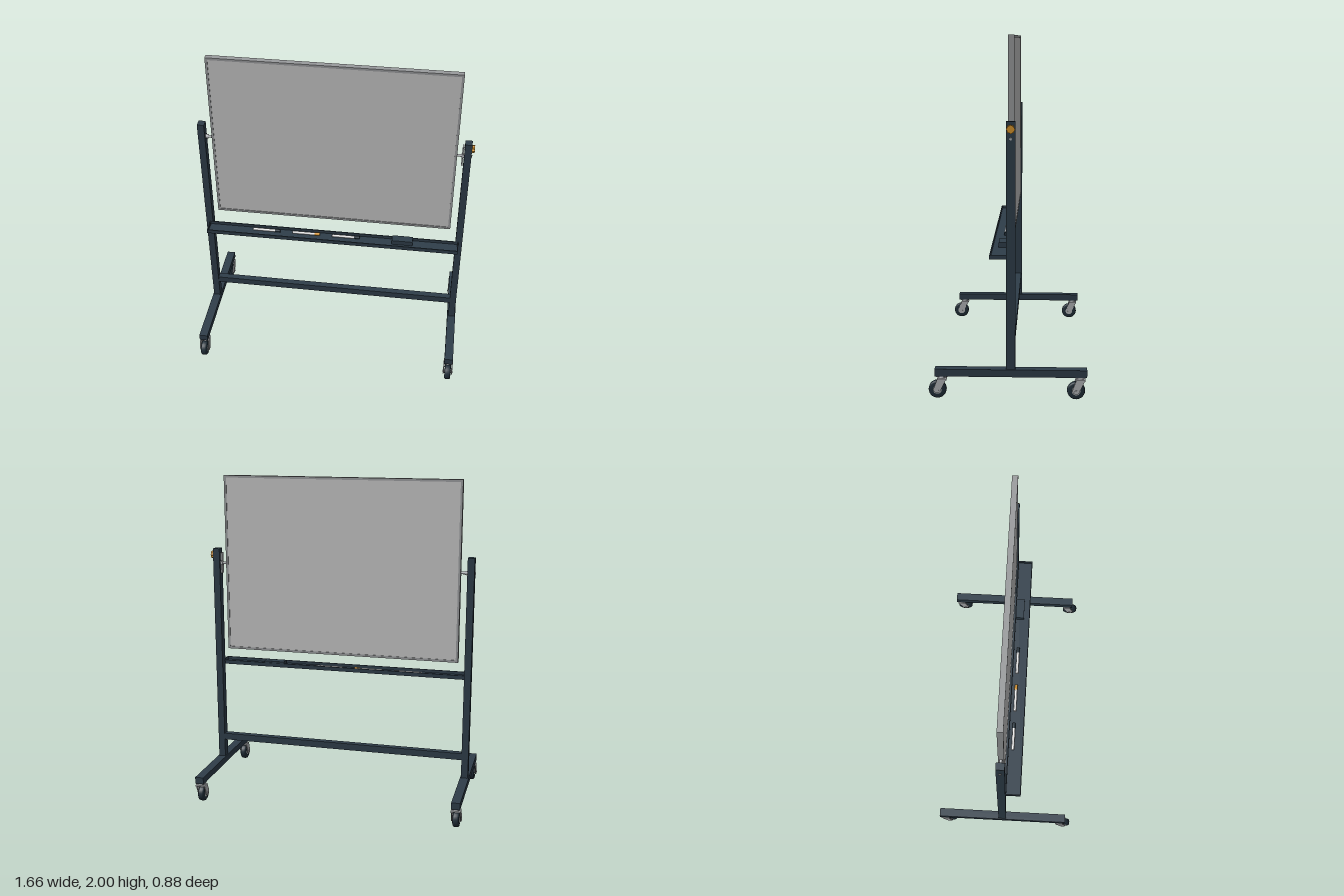
import * as THREE from 'three';

const mat = (name, color, side = THREE.FrontSide) => {
  const m = new THREE.MeshStandardMaterial({ color, side });
  m.name = name;
  return m;
};

export function createModel() {
  const navy = mat('navy steel', 0x2f3e4a);
  const rubber = mat('dark rubber', 0x22303a);
  const metal = mat('metal', 0xb4b7ba);
  const alu = mat('aluminium frame', 0x9a9c9e);
  const panel = mat('board surface', 0xc6c6c6);
  const white = mat('marker white', 0xe6e6e6);
  const amber = mat('amber', 0xd9962b);

  const model = new THREE.Group();
  model.name = 'mobileWhiteboard';
  // the stand is symmetrical about this slightly shifted origin
  const stand = new THREE.Group();
  stand.name = 'stand';
  stand.position.set(-0.0035, 0, -0.015);
  model.add(stand);

  const add = (parent, name, geo, material, x = 0, y = 0, z = 0) => {
    const m = new THREE.Mesh(geo, material);
    m.name = name;
    m.position.set(x, y, z);
    parent.add(m);
    return m;
  };
  const box = (parent, name, material, w, h, d, x, y, z) =>
    add(parent, name, new THREE.BoxGeometry(w, h, d), material, x, y, z);
  // cylinder lying along x
  const rod = (parent, name, material, r, len, x, y, z, sides = 20) => {
    const g = new THREE.CylinderGeometry(r, r, len, sides);
    g.rotateZ(Math.PI / 2);
    return add(parent, name, g, material, x, y, z);
  };

  // caster: swivel plate, stem, fork with two rounded legs, wheel
  const legShape = new THREE.Shape();
  legShape.moveTo(-0.028, 0.116);
  legShape.lineTo(0.022, 0.116);
  legShape.lineTo(0.045, 0.055);
  legShape.absarc(0.023, 0.055, 0.021, 0, -Math.PI, true);
  legShape.closePath();
  const legGeo = new THREE.ExtrudeGeometry(legShape, { depth: 0.006, bevelEnabled: false, curveSegments: 10 });
  legGeo.rotateY(-Math.PI / 2); // shape x becomes +z
  legGeo.translate(0.003, 0, 0);
  // tyre profile with rounded shoulders
  const tyreGeo = new THREE.LatheGeometry([
    [0.024, -0.019], [0.042, -0.019], [0.048, -0.015], [0.05, -0.008],
    [0.05, 0.008], [0.048, 0.015], [0.042, 0.019], [0.024, 0.019],
  ].map(([r, h]) => new THREE.Vector2(r, h)), 28);
  tyreGeo.rotateZ(Math.PI / 2);

  const makeCaster = (x, z) => {
    const c = new THREE.Group();
    c.name = 'caster';
    c.position.set(x, 0, z);
    stand.add(c);
    box(c, 'mountPlate', metal, 0.05, 0.005, 0.056, 0, 0.1275, 0);
    add(c, 'swivel', new THREE.CylinderGeometry(0.02, 0.024, 0.012, 20), metal, 0, 0.12, 0);
    box(c, 'forkBridge', metal, 0.058, 0.009, 0.05, 0, 0.1125, -0.003);
    for (const s of [-1, 1]) add(c, 'forkLeg', legGeo, metal, s * 0.026);
    add(c, 'tyre', tyreGeo, rubber, 0, 0.05, 0.023);
    rod(c, 'hub', metal, 0.025, 0.036, 0, 0.05, 0.023);
    rod(c, 'axle', metal, 0.009, 0.064, 0, 0.05, 0.023, 6);
  };

  // feet, posts and pivots on both sides
  const sideX = 0.7975, pivotY = 1.453;
  for (const s of [-1, 1]) {
    const x = s * sideX;
    box(stand, 'foot', navy, 0.053, 0.042, 0.846, x, 0.151, 0);
    box(stand, 'post', navy, 0.042, 1.375, 0.05, x, 0.8575, 0);
    for (const z of [-0.386, 0.386]) makeCaster(x, z);
    rod(stand, 'pivotRod', metal, 0.008, 0.06, s * 0.755, pivotY, 0);
    rod(stand, 'pivotCollar', metal, 0.013, 0.016, s * 0.769, pivotY, 0);
    rod(stand, 'pivotBolt', metal, 0.008, 0.006, s * 0.8205, pivotY, 0, 6);
  }
  box(stand, 'crossBar', navy, 1.555, 0.042, 0.04, 0, 0.307, 0);

  // lock plate and lobed knob on the left post
  box(stand, 'lockPlate', metal, 0.008, 0.13, 0.03, 0.768, 1.455, 0);
  rod(stand, 'lockPin', metal, 0.007, 0.05, 0.79, 1.505, 0);
  const lobes = new THREE.Shape();
  for (let i = 0; i < 48; i++) {
    const a = (i / 48) * Math.PI * 2, r = 0.0225 + 0.002 * Math.cos(a * 8);
    lobes[i ? 'lineTo' : 'moveTo'](r * Math.cos(a), r * Math.sin(a));
  }
  const knobGeo = new THREE.ExtrudeGeometry(lobes, { depth: 0.016, bevelEnabled: false });
  knobGeo.rotateY(Math.PI / 2);
  add(stand, 'lockKnob', knobGeo, amber, 0.8185, 1.505, 0);

  // board: frame with a sheet recessed on both faces
  const W = 1.472, H = 1.095, T = 0.034, rim = 0.014, midY = 1.4525;
  const frame = new THREE.Shape();
  frame.moveTo(-W / 2, -H / 2);
  frame.lineTo(W / 2, -H / 2);
  frame.lineTo(W / 2, H / 2);
  frame.lineTo(-W / 2, H / 2);
  frame.closePath();
  const opening = new THREE.Path();
  const iw = W / 2 - rim, ih = H / 2 - rim;
  opening.moveTo(-iw, -ih);
  opening.lineTo(-iw, ih);
  opening.lineTo(iw, ih);
  opening.lineTo(iw, -ih);
  opening.closePath();
  frame.holes.push(opening);
  const frameGeo = new THREE.ExtrudeGeometry(frame, { depth: T, bevelEnabled: false });
  frameGeo.translate(0, 0, -T / 2);
  add(stand, 'boardFrame', frameGeo, alu, 0, midY, 0);
  box(stand, 'boardSheet', panel, iw * 2, ih * 2, T - 0.008, 0, midY, 0);

  // tray with low lips
  const tray = new THREE.Group();
  tray.name = 'tray';
  stand.add(tray);
  const trayW = 1.59, trayD = 0.096, trayZ = 0.07;
  box(tray, 'trayBase', navy, trayW, 0.006, trayD, 0, 0.793, trayZ);
  for (const s of [-1, 1]) {
    box(tray, 'trayLip', navy, trayW, 0.019, 0.006, 0, 0.8055, trayZ + s * (trayD / 2 - 0.003));
    box(tray, 'trayEnd', navy, 0.006, 0.019, trayD - 0.012, s * (trayW / 2 - 0.003), 0.8055, trayZ);
  }
  box(tray, 'eraser', navy, 0.13, 0.022, 0.053, 0.445, 0.807, 0.053);
  box(tray, 'eraserFelt', rubber, 0.126, 0.008, 0.049, 0.445, 0.8, 0.053);
  box(tray, 'eraserTop', navy, 0.13, 0.008, 0.053, 0.445, 0.821, 0.053);

  // markers lying in the tray
  [[-0.506, rubber], [-0.252, amber], [0.002, rubber]].forEach(([x, cap]) => {
    rod(tray, 'markerBody', white, 0.0085, 0.14, x + 0.07, 0.8045, 0.054, 16);
    rod(tray, 'markerCap', cap, 0.0095, 0.034, x + 0.157, 0.8055, 0.054, 16);
  });

  return model;
}
